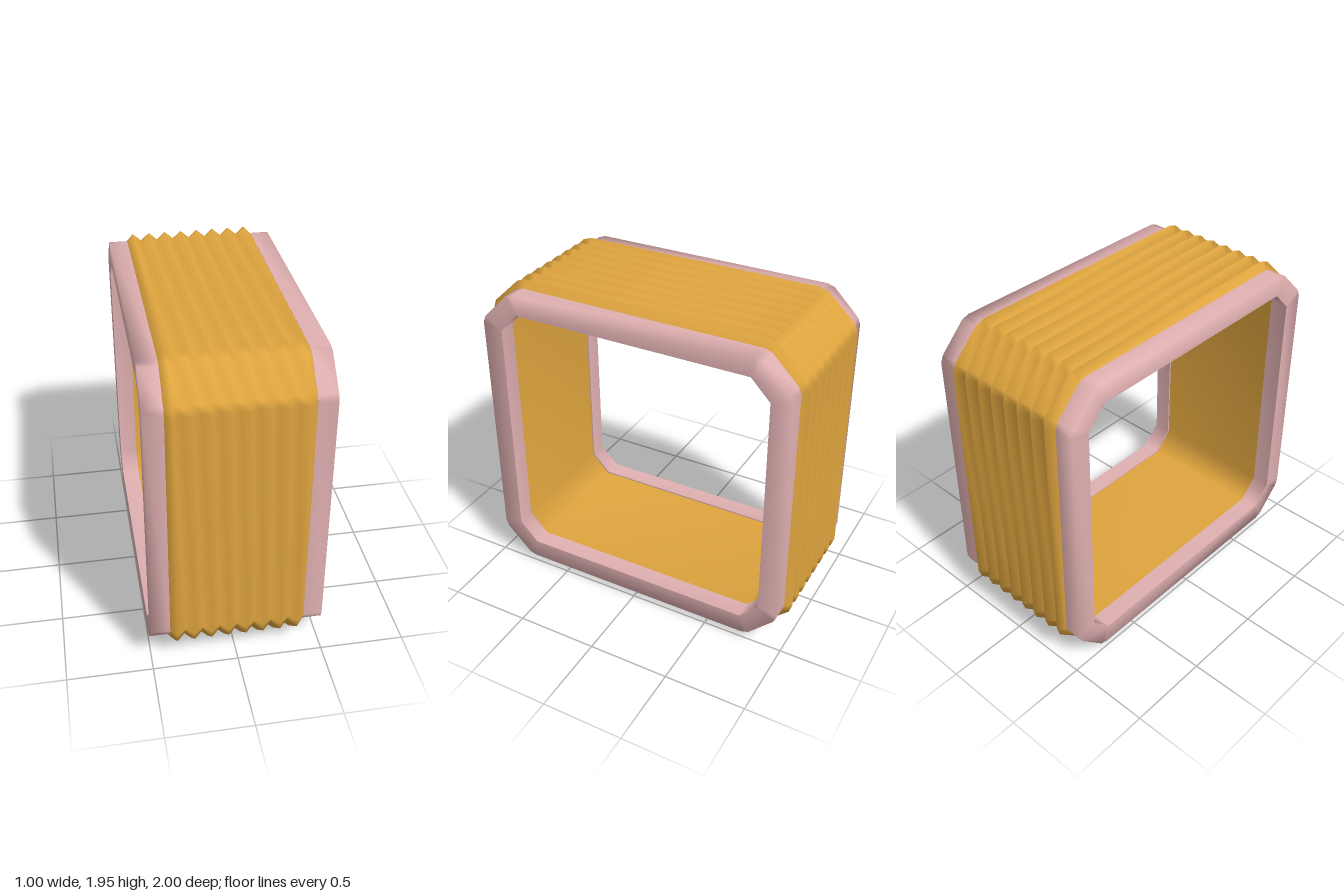
import * as THREE from 'three';
import { mergeVertices } from 'three/addons/utils/BufferGeometryUtils.js';

const CENTRE_Y = 0.975;

// Corner profiles as [z, y] from the top edge round to the side edge
const FOLD = [[0.755, 0.975], [0.81, 0.955], [0.98, 0.795], [1.0, 0.735]];
const RIM = [[0.745, 0.935], [0.79, 0.92], [0.945, 0.765], [0.962, 0.725]];
const VALLEY = RIM.map(([z, y]) => [z - 0.001, y - 0.001]);
const LINING = [[0.733, 0.825], [0.733, 0.825], [0.85, 0.7], [0.85, 0.7]];
const OPENING = [[0.725, 0.815], [0.725, 0.815], [0.84, 0.695], [0.84, 0.695]];

// Mirror one corner into a closed 16-point ring
function ring(corner) {
  const back = [...corner].reverse();
  return [
    ...corner,
    ...back.map(([z, y]) => [z, -y]),
    ...corner.map(([z, y]) => [-z, -y]),
    ...back.map(([z, y]) => [-z, y]),
  ];
}

// Skin a list of [x, corner] sections with smooth normals
function loft(sections) {
  const pos = [], index = [], n = 16;
  for (const [x, corner] of sections) {
    for (const [z, y] of ring(corner)) pos.push(x, y, z);
  }
  for (let i = 0; i < sections.length - 1; i++) {
    for (let j = 0; j < n; j++) {
      const k = (j + 1) % n;
      const a = i * n + j, b = i * n + k, c = b + n, d = a + n;
      index.push(a, b, c, a, c, d);
    }
  }
  let geo = new THREE.BufferGeometry();
  geo.setAttribute('position', new THREE.Float32BufferAttribute(pos, 3));
  geo.setIndex(index);
  geo = mergeVertices(geo, 1e-5);
  geo.computeVertexNormals();
  return geo;
}

export function createModel() {
  const gold = new THREE.MeshStandardMaterial({ color: 0xdea43e });
  gold.name = 'gold';
  const pink = new THREE.MeshStandardMaterial({ color: 0xdfafb0 });
  pink.name = 'dusty pink';

  const model = new THREE.Group();
  model.name = 'bellowsConnector';
  const add = (parent, name, sections, material) => {
    const mesh = new THREE.Mesh(loft(sections), material);
    mesh.name = name;
    parent.add(mesh);
  };

  // Outer bellows: eight sharp folds between nine valleys
  const folds = [[-0.39, VALLEY]];
  for (let i = 0; i < 8; i++) {
    folds.push([-0.35 + i * 0.1, FOLD]);
    folds.push([i < 7 ? -0.3 + i * 0.1 : 0.39, VALLEY]);
  }
  add(model, 'bellows', folds, gold);

  // Smooth inner wall of the bellows
  add(model, 'bellowsLining', [[0.395, LINING], [-0.395, LINING]], gold);

  // End rims, the second turned half way round
  for (const side of ['left', 'right']) {
    const rim = new THREE.Group();
    rim.name = side + 'Rim';
    add(rim, 'rimOuter', [[0.39, RIM], [0.5, RIM], [0.5, OPENING]], pink);
    add(rim, 'rimInner', [[0.5, OPENING], [0.39, OPENING]], pink);
    add(rim, 'rimBack', [[0.39, OPENING], [0.39, RIM]], pink);
    if (side === 'right') rim.rotation.y = Math.PI;
    model.add(rim);
  }

  model.position.y = CENTRE_Y;
  const root = new THREE.Group();
  root.name = 'model';
  root.add(model);
  return root;
}
